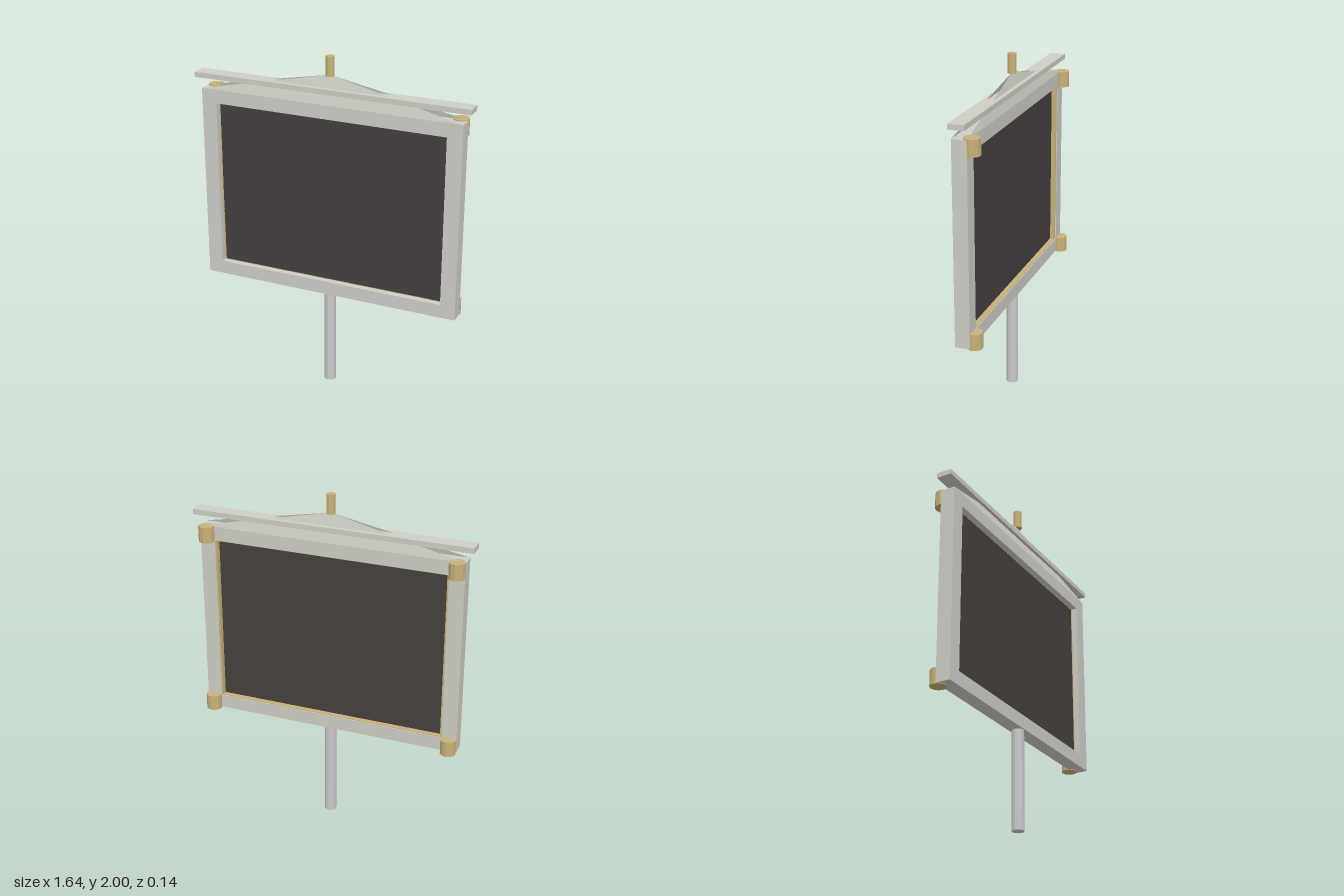
import * as THREE from 'three';

const material = (color) => new THREE.MeshStandardMaterial({ color, flatShading: true, side: THREE.DoubleSide });

export function createModel() {
  const group = new THREE.Group();
  const grey = material(0xcccccc);
  const stone = material(0xcfcec6);
  const brass = material(0xc8b27a);
  const dark = material(0x45403e);

  const add = (name, geometry, mat, x = 0, y = 0, z = 0) => {
    const mesh = new THREE.Mesh(geometry, mat);
    mesh.name = name;
    mesh.position.set(x, y, z);
    group.add(mesh);
    return mesh;
  };

  // Rectangular ring, extruded forward from z = 0
  const ring = (w, h, innerW, innerH, depth) => {
    const outline = (a, b, Type) => new Type([
      new THREE.Vector2(-a / 2, -b / 2), new THREE.Vector2(a / 2, -b / 2),
      new THREE.Vector2(a / 2, b / 2), new THREE.Vector2(-a / 2, b / 2),
    ]);
    const shape = outline(w, h, THREE.Shape);
    shape.holes.push(outline(innerW, innerH, THREE.Path));
    return new THREE.ExtrudeGeometry(shape, { depth, bevelEnabled: false });
  };

  // Post
  add('post', new THREE.CylinderGeometry(0.035, 0.035, 0.58, 12), grey, 0, 0.29, 0.028);

  // Sign frame with its liner and board
  add('frame', ring(1.556, 1.15, 1.38, 0.99, 0.085), stone, 0, 1.155, -0.015);
  add('liner', ring(1.38, 0.99, 1.36, 0.982, 0.045), brass, 0, 1.155, -0.01);
  add('board', new THREE.BoxGeometry(1.365, 0.985, 0.016), dark, 0, 1.155, 0.027);

  // Gable: two triangular sheets leaning together, open at the ends
  for (const [name, z, s] of [['gableFront', 0.07, 1], ['gableBack', -0.015, -1]]) {
    const sheet = new THREE.BufferGeometry().setFromPoints([
      new THREE.Vector3(-0.778 * s, 1.73, z),
      new THREE.Vector3(0.778 * s, 1.73, z),
      new THREE.Vector3(0, 1.893, 0.026),
    ]);
    sheet.computeVertexNormals();
    add(name, sheet, stone);
  }

  // Crossbar and finial
  add('crossbar', new THREE.BoxGeometry(1.64, 0.03, 0.09), stone, 0, 1.805, 0.027);
  add('finial', new THREE.CylinderGeometry(0.025, 0.025, 0.112, 12), brass, 0, 1.944, 0.028);

  // Corner knobs behind the frame
  for (const x of [-0.735, 0.735]) {
    for (const y of [0.622, 1.69]) {
      add('cornerKnob', new THREE.CylinderGeometry(0.046, 0.046, 0.092, 12), brass, x, y, -0.026);
    }
  }

  return group;
}
